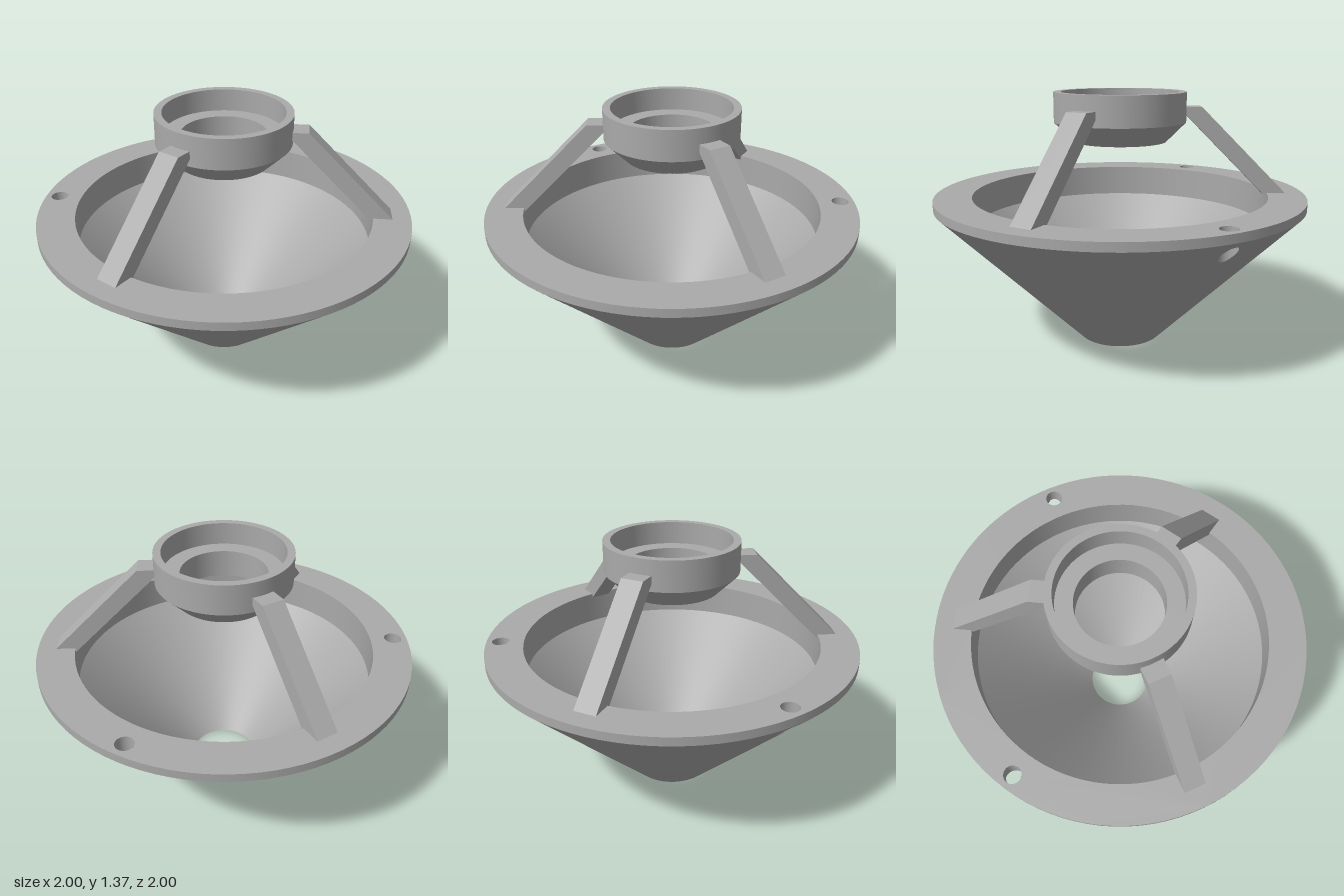
import * as THREE from 'three';
import { mergeGeometries } from 'three/addons/utils/BufferGeometryUtils.js';

const SEG = 96;
const STEP = (Math.PI * 2) / SEG;
const HOLE_R = 0.046, HOLE_DIST = 0.925, PATCH_R = 0.86;
const HOLE_ANGLES = [Math.PI * 5 / 6, Math.PI * 3 / 2]; // measured from +z towards +x
const coneY = (r) => ((r - 0.23) / 0.77) * 0.775;

// Lathe with a sharp edge at every profile point
function turned(points, start = 0, length = Math.PI * 2) {
  const parts = [];
  for (let i = 0; i < points.length - 1; i++) {
    const pair = [points[i], points[i + 1]].map(([r, y]) => new THREE.Vector2(r, y));
    parts.push(new THREE.LatheGeometry(pair, Math.round(length / STEP), start, length));
  }
  return mergeGeometries(parts);
}

function circlePath(x, y, r) {
  return new THREE.Path().absarc(x, y, r, 0, Math.PI * 2, true);
}

// Small sector of the outer cone, pierced by a vertical bolt hole
function piercedPatch() {
  const at = (r, a) => new THREE.Vector2(r * Math.sin(a), r * Math.cos(a));
  const shape = new THREE.Shape([
    at(PATCH_R, -STEP), at(PATCH_R, 0), at(PATCH_R, STEP),
    at(1, STEP), at(1, 0), at(1, -STEP),
  ]);
  shape.holes.push(circlePath(0, HOLE_DIST, HOLE_R));
  const geo = new THREE.ShapeGeometry(shape, 16);
  const pos = geo.attributes.position, nor = geo.attributes.normal;
  const n = Math.hypot(0.775, 0.77);
  for (let i = 0; i < pos.count; i++) {
    const x = pos.getX(i), z = pos.getY(i), r = Math.hypot(x, z);
    pos.setXYZ(i, x, coneY(r), z);
    nor.setXYZ(i, (x / r) * 0.775 / n, -0.77 / n, (z / r) * 0.775 / n);
  }
  return geo;
}

// Hole wall running from the flange top to the sloping cone
function holeWall() {
  const geo = new THREE.CylinderGeometry(HOLE_R, HOLE_R, 1, 32, 1, true);
  geo.translate(0, 0, HOLE_DIST);
  const pos = geo.attributes.position;
  for (let i = 0; i < pos.count; i++) {
    const r = Math.hypot(pos.getX(i), pos.getZ(i));
    pos.setY(i, pos.getY(i) > 0 ? 0.82 : coneY(r));
  }
  return geo;
}

export function createModel() {
  const model = new THREE.Group();
  const grey = new THREE.MeshStandardMaterial({ color: 0xaaaaaa, side: THREE.DoubleSide });
  grey.name = 'grey';
  const add = (name, geo, angle = 0) => {
    const mesh = new THREE.Mesh(geo, grey);
    mesh.name = name;
    mesh.rotation.y = angle;
    model.add(mesh);
  };

  // Funnel: straight throat, inner cone, bottom ring, outer cone
  add('funnel', turned([[0.8, 0.82], [0.8, 0.64], [0.18, 0], [0.23, 0], [PATCH_R, coneY(PATCH_R)]]));
  add('flangeEdge', turned([[1, 0.775], [1, 0.82]]));

  // Upper band of the cone, interrupted at the bolt holes
  HOLE_ANGLES.forEach((a, i) => {
    const next = i === 0 ? HOLE_ANGLES[1] : HOLE_ANGLES[0] + Math.PI * 2;
    add('upperCone', turned([[PATCH_R, coneY(PATCH_R)], [1, 0.775]], a + STEP, next - a - 2 * STEP));
    add('boltHoleSurround', piercedPatch(), a);
    add('boltHole', holeWall(), a);
  });

  // Flat flange top
  const ring = new THREE.Shape().absarc(0, 0, 1, 0, Math.PI * 2, false);
  ring.holes.push(circlePath(0, 0, 0.8));
  for (const a of HOLE_ANGLES) {
    ring.holes.push(circlePath(HOLE_DIST * Math.sin(a), -HOLE_DIST * Math.cos(a), HOLE_R));
  }
  add('flangeTop', new THREE.ShapeGeometry(ring, SEG / 2).rotateX(-Math.PI / 2).translate(0, 0.82, 0));

  // Collar with stepped bore and chamfered underside
  add('collar', turned([
    [0.225, 1.1], [0.25, 1.1], [0.355, 1.205], [0.355, 1.365],
    [0.315, 1.365], [0.315, 1.245], [0.225, 1.245], [0.225, 1.1],
  ]));

  // Three sloping struts
  const profile = new THREE.Shape([
    [0.345, 1.285], [0.345, 1.25], [0.8, 0.795], [0.8, 0.82], [0.9, 0.82], [0.435, 1.285],
  ].map(([x, y]) => new THREE.Vector2(x, y)));
  for (let i = 0; i < 3; i++) {
    const geo = new THREE.ExtrudeGeometry(profile, { depth: 0.116, bevelEnabled: false });
    add('strut', geo.translate(0, 0, -0.058), (i * Math.PI * 2) / 3);
  }
  return model;
}
